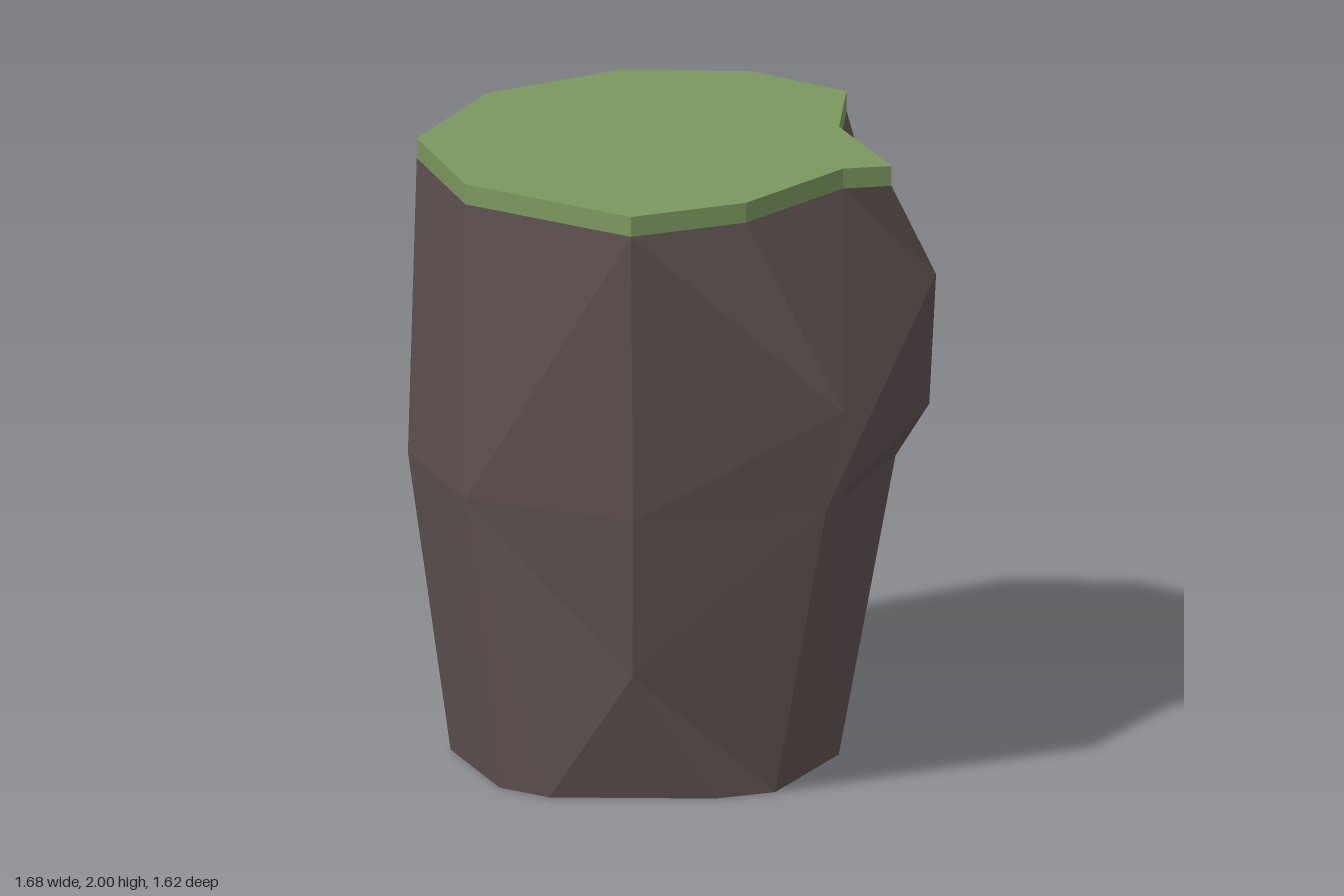
import * as THREE from 'three';

// Cross-section corners as [x, z], running front, left (+x), back, right (-x)
const TOP = [[-0.1, 0.805], [0.53, 0.67], [0.65, 0.29], [0.56, -0.2], [0.6, -0.37], [0.12, -0.58],
  [-0.1, -0.81], [-0.47, -0.74], [-0.76, -0.45], [-0.84, 0.05], [-0.6, 0.56]];
const MID = [[-0.1, 0.805], [0.44, 0.58], [0.76, 0.05], [0.43, -0.54], [-0.1, -0.8],
  [-0.65, -0.57], [-0.84, 0.05], [-0.625, 0.575]];
const BASE = [[-0.1, 0.66], [0.09, 0.62], [0.45, 0.24], [0.52, 0.05], [0.33, -0.39], [-0.1, -0.5],
  [-0.53, -0.39], [-0.71, 0.05], [-0.53, 0.48]];

// Flat-shaded surface from polygons, each split as a fan from its first corner
function facets(name, polygons, material) {
  const pos = [];
  for (const p of polygons) {
    for (let i = 1; i < p.length - 1; i++) pos.push(...p[0], ...p[i], ...p[i + 1]);
  }
  const geo = new THREE.BufferGeometry();
  geo.setAttribute('position', new THREE.Float32BufferAttribute(pos, 3));
  geo.computeVertexNormals();
  const mesh = new THREE.Mesh(geo, material);
  mesh.name = name;
  return mesh;
}

export function createModel() {
  const group = new THREE.Group();
  group.name = 'grassToppedRock';
  const stone = new THREE.MeshStandardMaterial({ color: 0x5f5251, flatShading: true });
  stone.name = 'brown stone';
  const grass = new THREE.MeshStandardMaterial({ color: 0x7b985f, flatShading: true });
  grass.name = 'grass green';

  // The grass edge sags slightly around the back notch
  const sag = { 4: 0.015, 5: 0.027 };
  const ring = (pts, y) => pts.map(([x, z], i) => [x, y - (pts === TOP ? sag[i] || 0 : 0), z]);
  const lawn = ring(TOP, 2);
  const t = ring(TOP, 1.935);
  const m = ring(MID, 0.97);
  const b = ring(BASE, 0);

  // Chips, ledges and bulges between the rings
  const bulge = [0.84, 1.31, 0.05];
  const shoulder = [0.61, 1.6, -0.55];
  const ledge = [0.5, 1.14, -0.62];
  const ledgeA = [0.497, 0.97, -0.42];
  const ledgeB = [0.17, 0.97, -0.67];
  const chip = [0.36, 0.43, 0.51];
  const corner = [-0.69, 1.62, -0.64];

  group.add(facets('rockBody', [
    // front
    [m[0], b[0], b[1], chip, m[1]], [b[1], b[2], chip], [m[0], m[1], t[1], t[0]],
    // left side with the bulge
    [chip, b[2], b[3], m[2], m[1]], [bulge, t[2], t[1], m[1], m[2]], [bulge, t[3], t[2]],
    [m[2], ledgeA, ledge, shoulder, t[3], bulge], [shoulder, t[4], t[3]],
    [m[2], b[3], b[4], m[3], ledgeA],
    // overhanging ledge at the back left
    [ledgeA, m[3], ledge], [m[3], ledgeB, ledge], [m[3], b[4], b[5], m[4], ledgeB],
    [ledge, ledgeB, m[4], t[6], t[5], shoulder], [shoulder, t[5], t[4]],
    // back right with the cut corner
    [b[5], b[6], m[5], m[4]], [m[4], m[5], corner, t[7], t[6]], [corner, t[8], t[7]],
    [b[6], b[7], m[6], m[5]], [m[6], t[9], t[8], corner, m[5]],
    // right side and front right
    [b[7], b[8], m[7], m[6]], [m[6], m[7], t[10], t[9]],
    [b[8], b[0], m[0], m[7]], [m[7], m[0], t[0], t[10]],
    // underside
    [...b].reverse(),
  ], stone));

  // Grass slab: top face and a thin rim
  const rim = t.map((p, i) => {
    const j = (i + 1) % t.length;
    return [p, t[j], lawn[j], lawn[i]];
  });
  group.add(facets('grassTop', [lawn, ...rim], grass));

  return group;
}
